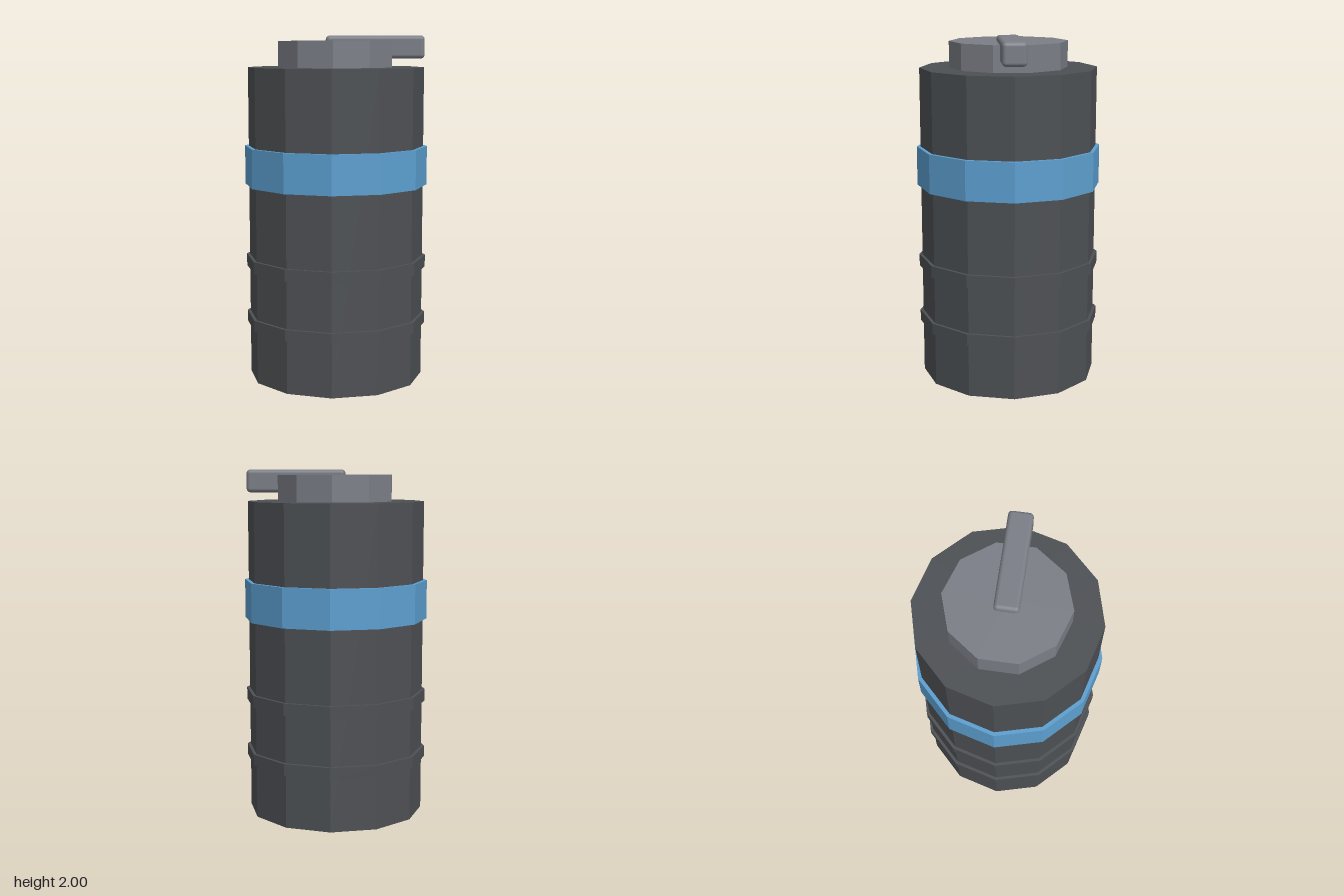
import * as THREE from 'three';
import { RoundedBoxGeometry } from 'three/addons/geometries/RoundedBoxGeometry.js';

export function createModel() {
  const model = new THREE.Group();
  const material = (name, color) => {
    const m = new THREE.MeshStandardMaterial({ color });
    m.name = name;
    return m;
  };
  const darkGrey = material('darkGrey', 0x4d5054);
  const lightGrey = material('lightGrey', 0x7b7e86);
  const blue = material('blue', 0x5c9fd0);

  // Upright faceted drum between two heights
  const drum = (name, mat, radius, bottom, top, sides = 12) => {
    const geometry = new THREE.CylinderGeometry(radius, radius, top - bottom, sides).toNonIndexed();
    geometry.computeVertexNormals();
    const mesh = new THREE.Mesh(geometry, mat);
    mesh.name = name;
    mesh.position.y = (bottom + top) / 2;
    model.add(mesh);
  };

  // Canister with two ribs and a coloured band
  drum('body', darkGrey, 0.51, 0, 1.82);
  drum('lowerRib', darkGrey, 0.528, 0.31, 0.375);
  drum('upperRib', darkGrey, 0.528, 0.65, 0.72);
  drum('band', blue, 0.532, 1.14, 1.365);

  // Ten-sided cap
  drum('cap', lightGrey, 0.34, 1.82, 1.97, 10);

  // Lever overhanging the cap to the model's left
  const lever = new THREE.Mesh(new RoundedBoxGeometry(0.565, 0.13, 0.135, 3, 0.022), lightGrey);
  lever.name = 'lever';
  lever.position.set(0.2275, 1.935, 0);
  model.add(lever);

  return model;
}
